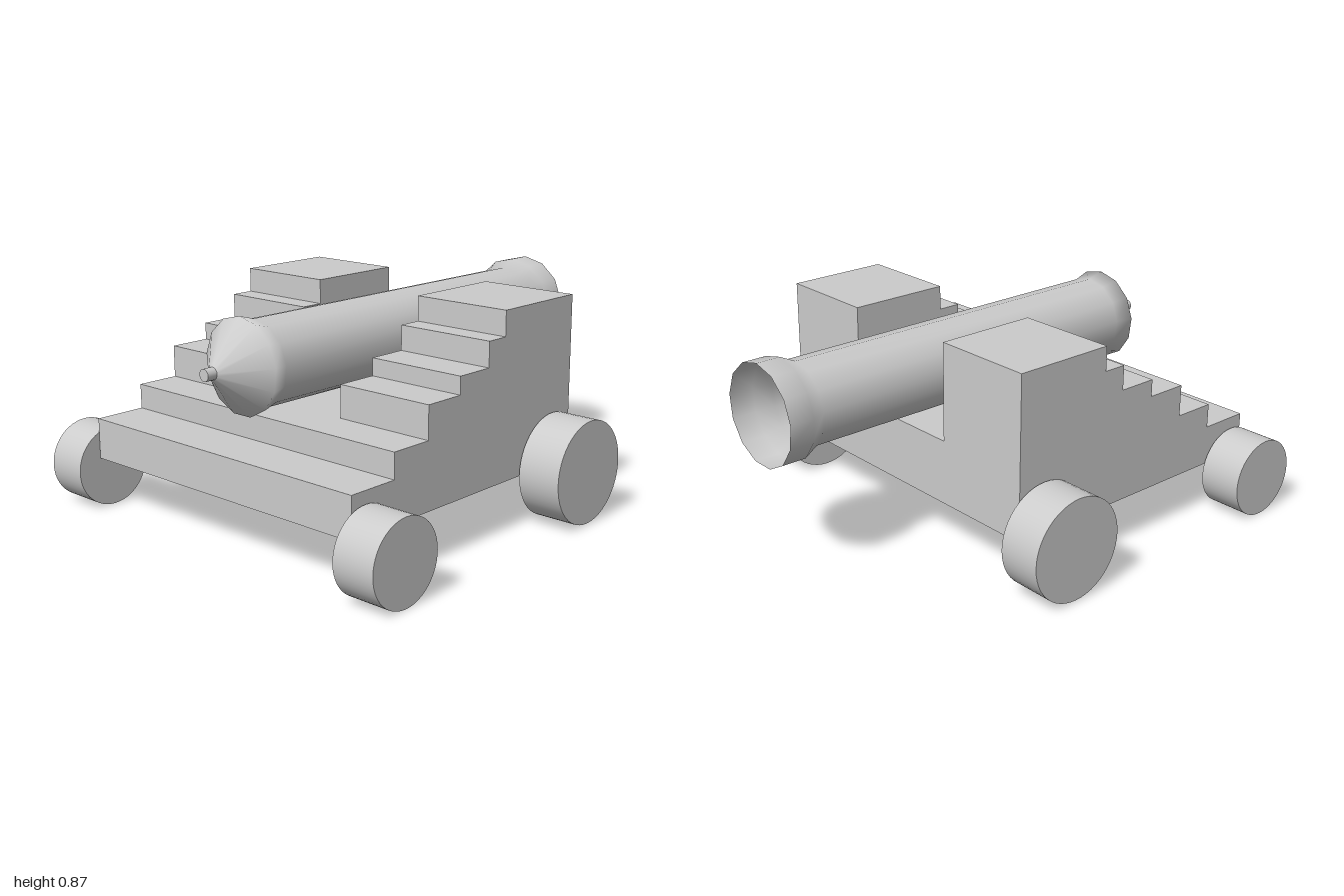
import * as THREE from 'three';

export function createModel() {
  const model = new THREE.Group();
  const grey = new THREE.MeshStandardMaterial({ color: 0xcccccc });
  const greyOpen = new THREE.MeshStandardMaterial({ color: 0xcccccc, side: THREE.DoubleSide });

  const add = (name, geometry, material = grey) => {
    const mesh = new THREE.Mesh(geometry, material);
    mesh.name = name;
    model.add(mesh);
    return mesh;
  };

  // Extrudes a side outline of [z, y] points across x, from x0 to x1
  const sideExtrude = (outline, x0, x1) => {
    const shape = new THREE.Shape(outline.map(([z, y]) => new THREE.Vector2(z, y)));
    return new THREE.ExtrudeGeometry(shape, { depth: x1 - x0, bevelEnabled: false })
      .rotateY(-Math.PI / 2)
      .translate(x1, 0, 0);
  };

  // Carriage bed with its low front step
  const back = -0.36;
  add('carriageBed', sideExtrude([
    [back, 0.21], [0.9, 0.21], [0.9, 0.375], [0.685, 0.375], [0.685, 0.475], [back, 0.475],
  ], -0.69, 0.69));

  // Stepped cheeks on both sides of the barrel: [front z, top y] of each step
  const steps = [[0.505, 0.605], [0.33, 0.675], [0.165, 0.775], [0.068, 0.875]];
  const cheek = [[back, 0.475]];
  let y = 0.475;
  for (const [z, top] of steps) {
    cheek.push([z, y], [z, top]);
    y = top;
  }
  cheek.push([back, y]);
  add('leftCheek', sideExtrude(cheek, 0.265, 0.69));
  add('rightCheek', sideExtrude(cheek, -0.69, -0.265));

  // Wheels: small pair in front, large pair behind
  for (const [end, radius, z, cy] of [['front', 0.163, 0.835, 0.165], ['rear', 0.208, -0.242, 0.215]]) {
    for (const [side, s] of [['Left', 1], ['Right', -1]]) {
      const wheel = new THREE.CylinderGeometry(radius, radius, 0.18, 48).rotateZ(Math.PI / 2);
      add(`${end}${side}Wheel`, wheel).position.set(s * 0.785, cy, z);
    }
  }

  // Barrel: 13-sided, open flared muzzle at the back, pointed breech in front
  const axisY = 0.673;
  const lathe = (profile) => new THREE.LatheGeometry(
    profile.map(([r, z]) => new THREE.Vector2(r, z)), 13, Math.PI
  ).rotateX(Math.PI / 2).translate(0, axisY, 0);
  add('barrel', lathe([
    [0.202, -1], [0.202, -0.9], [0.17, -0.835], [0.17, 0.685], [0.19, 0.755], [0.024, 0.89],
  ]), greyOpen);

  // Small knob at the tip of the breech
  const knob = new THREE.CylinderGeometry(0.024, 0.024, 0.05, 13).rotateX(Math.PI / 2);
  add('breechKnob', knob).position.set(0, axisY, 0.907);

  return model;
}
